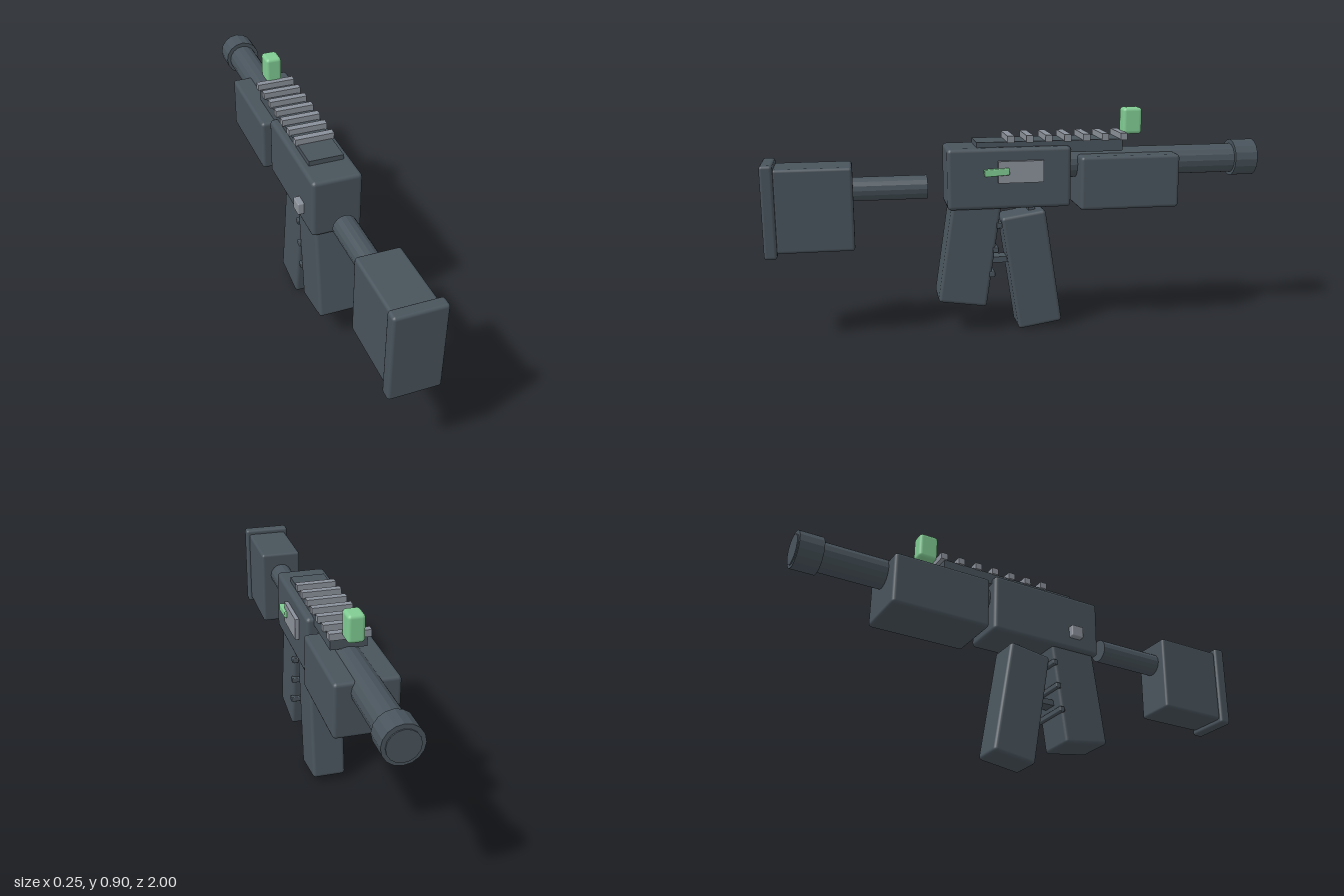
import * as THREE from 'three';
import { RoundedBoxGeometry } from 'three/addons/geometries/RoundedBoxGeometry.js';

export function createModel() {
  const group = new THREE.Group();
  const material = (name, color) => {
    const m = new THREE.MeshStandardMaterial({ color });
    m.name = name;
    return m;
  };
  const dark = material('slate', 0x48535b);
  const grey = material('grey', 0x8a9099);
  const green = material('green', 0x80cb92);

  const add = (name, geometry, mat, x, y, z, tilt = 0) => {
    const mesh = new THREE.Mesh(geometry, mat);
    mesh.name = name;
    mesh.position.set(x, y, z);
    mesh.rotation.x = tilt;
    group.add(mesh);
    return mesh;
  };

  // Boxes are given by their ranges: [min, max] on each axis
  const box = (name, mat, [x0, x1], [y0, y1], [z0, z1], radius = 0) => {
    const size = [x1 - x0, y1 - y0, z1 - z0];
    const geometry = radius
      ? new RoundedBoxGeometry(...size, 2, radius)
      : new THREE.BoxGeometry(...size);
    return add(name, geometry, mat, (x0 + x1) / 2, (y0 + y1) / 2, (z0 + z1) / 2);
  };

  // Faceted cylinder lying along z
  const rod = (name, radius, y, z0, z1) => {
    const indexed = new THREE.CylinderGeometry(radius, radius, z1 - z0, 16);
    indexed.rotateX(Math.PI / 2);
    const geometry = indexed.toNonIndexed();
    geometry.computeVertexNormals();
    return add(name, geometry, dark, 0, y, (z0 + z1) / 2);
  };

  // Shoulder stock
  box('buttPlate', dark, [-0.1, 0.1], [0.355, 0.72], [0.95, 1], 0.012);
  box('stock', dark, [-0.087, 0.087], [0.373, 0.702], [0.655, 0.955], 0.012);
  rod('stockTube', 0.048, 0.602, 0.365, 0.67);

  // Main body
  box('receiver', dark, [-0.1, 0.1], [0.52, 0.763], [-0.2, 0.293], 0.016);
  box('handguard', dark, [-0.122, 0.122], [0.506, 0.722], [-0.642, -0.235], 0.014);

  // Barrel and muzzle collar
  rod('barrel', 0.06, 0.682, -1, -0.15);
  rod('muzzle', 0.075, 0.684, -0.995, -0.9);

  // Top rail with its cross ribs and sight
  box('railBase', dark, [-0.07, 0.07], [0.735, 0.783], [-0.415, 0.175]);
  for (let i = 0; i < 7; i++) {
    const z = 0.04 - i * 0.0765;
    box('railRib', grey, [-0.079, 0.079], [0.78, 0.807], [z - 0.014, z + 0.014]);
  }
  box('sight', green, [-0.033, 0.033], [0.795, 0.902], [-0.507, -0.428], 0.014);

  // Side details
  box('portPlate', grey, [0.09, 0.116], [0.627, 0.713], [-0.085, 0.095]);
  box('lever', green, [0.1, 0.125], [0.657, 0.685], [0.052, 0.15], 0.004).rotation.x = 0.06;
  box('button', grey, [-0.125, -0.09], [0.57, 0.62], [0.15, 0.205], 0.005);

  // Grip with finger ribs
  add('grip', new RoundedBoxGeometry(0.164, 0.43, 0.197, 2, 0.014), dark, 0, 0.34, 0.2055, -0.15);
  for (const y of [0.25, 0.35, 0.45]) {
    const z = 0.106 + (0.34 - y) * 0.15;
    add('gripRib', new RoundedBoxGeometry(0.178, 0.022, 0.024, 1, 0.004), dark, 0, y, z - 0.002);
  }

  // Magazine, with the small parts behind and above it
  add('magazine', new RoundedBoxGeometry(0.136, 0.478, 0.182, 2, 0.014), dark, 0, 0.253, -0.05, 0.15);
  box('guardBar', dark, [-0.03, 0.03], [0.283, 0.307], [0.03, 0.125]);
  box('magazineLatch', dark, [-0.02, 0.02], [0.47, 0.54], [-0.07, -0.042]);

  return group;
}
